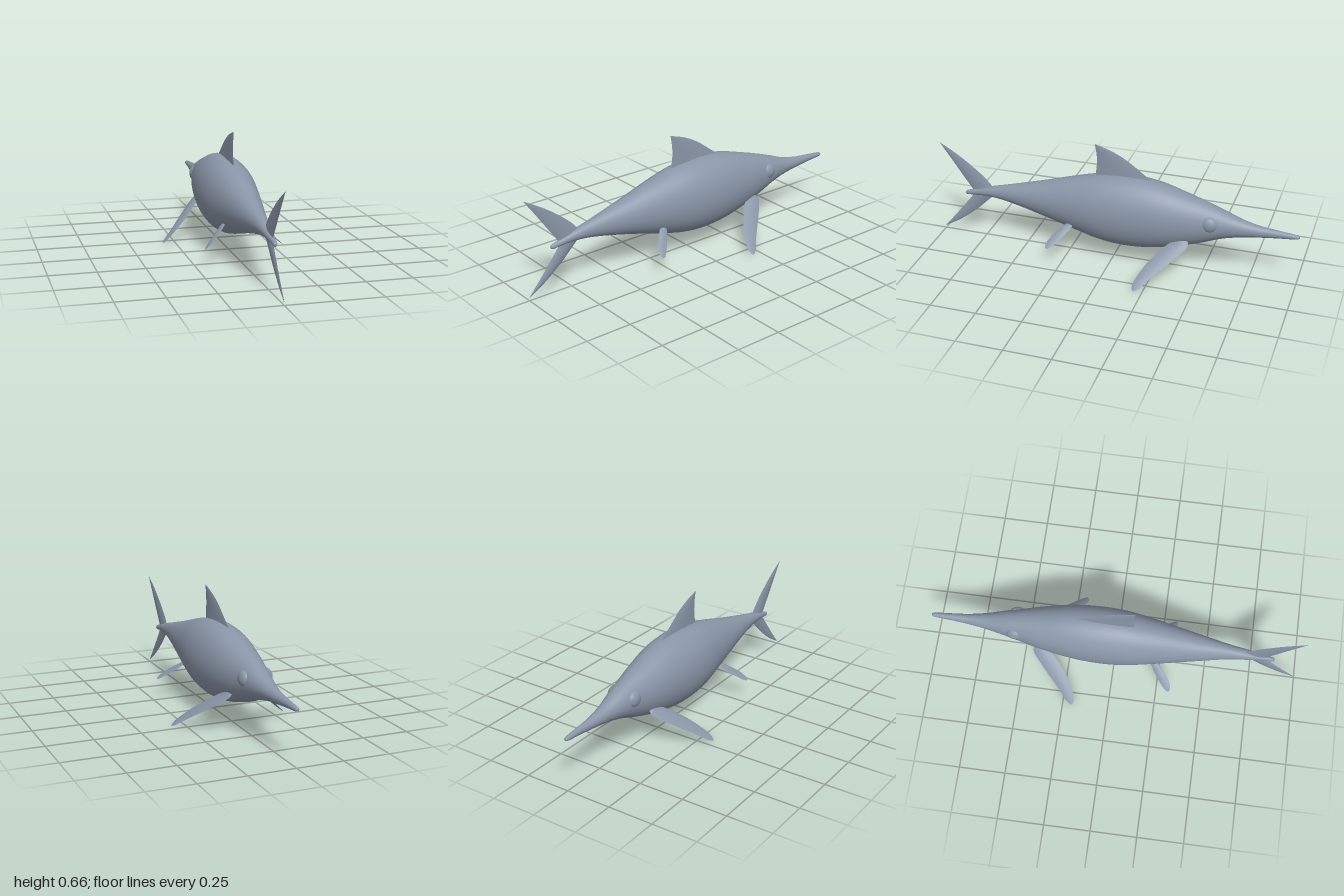
import * as THREE from 'three';
import { toCreasedNormals } from 'three/addons/utils/BufferGeometryUtils.js';

// Closed skin through rings of equal point count, always facing outward
function loft(rings) {
  const n = rings[0].length, pts = rings.flat(), index = [];
  for (let i = 0; i < rings.length - 1; i++) {
    for (let j = 0; j < n; j++) {
      const a = i * n + j, b = i * n + (j + 1) % n;
      index.push(a, b, a + n, b, b + n, a + n);
    }
  }
  // end caps
  const middle = ring => ring.reduce((s, p) => s.add(p), new THREE.Vector3()).divideScalar(n);
  const last = (rings.length - 1) * n;
  const c0 = pts.length, c1 = c0 + 1;
  const all = [...pts, middle(rings[0]), middle(rings[rings.length - 1])];
  for (let j = 0; j < n; j++) {
    const k = (j + 1) % n;
    index.push(c0, k, j, c1, last + j, last + k);
  }
  let volume = 0;
  for (let i = 0; i < index.length; i += 3) {
    volume += all[index[i]].dot(all[index[i + 1]].clone().cross(all[index[i + 2]]));
  }
  if (volume < 0) index.reverse();
  const geometry = new THREE.BufferGeometry().setFromPoints(all);
  geometry.setIndex(index);
  geometry.computeVertexNormals();
  return geometry;
}

// Thin fin: matching [z, span] points along its leading and trailing edges.
// place(z, span) maps to space; normal gives the thickness direction.
function fin(lead, trail, halfThickness, place, normal) {
  const curve = p => new THREE.CatmullRomCurve3(p.map(([z, s]) => place(z, s)), false, 'catmullrom');
  const a = curve(lead), b = curve(trail), rings = [];
  const steps = 16, sides = 16;
  for (let i = 0; i <= steps; i++) {
    const t = i / steps, p = a.getPoint(t), q = b.getPoint(t);
    const thick = halfThickness * (1 - 0.93 * t);
    rings.push(Array.from({ length: sides }, (_, j) => {
      const angle = j / sides * Math.PI * 2, s = Math.sin(angle);
      return p.clone().lerp(q, (1 - Math.cos(angle)) / 2).addScaledVector(normal, thick * s * Math.abs(s));
    }));
  }
  return toCreasedNormals(loft(rings), 0.7);
}

// Body stations, snout to tail: z, top y, bottom y, half width
const stations = [
  [-1.0, 0.293, 0.283, 0.006], [-0.985, 0.299, 0.276, 0.012], [-0.9, 0.308, 0.268, 0.018],
  [-0.8, 0.318, 0.257, 0.027], [-0.7, 0.34, 0.244, 0.043], [-0.6, 0.377, 0.22, 0.065],
  [-0.5, 0.412, 0.182, 0.086], [-0.4, 0.443, 0.15, 0.109], [-0.25, 0.485, 0.112, 0.134],
  [-0.1, 0.5, 0.095, 0.145], [0.05, 0.49, 0.104, 0.14], [0.2, 0.456, 0.139, 0.117],
  [0.4, 0.396, 0.193, 0.08], [0.6, 0.341, 0.238, 0.042], [0.72, 0.309, 0.252, 0.027],
  [0.81, 0.281, 0.247, 0.015], [0.85, 0.269, 0.243, 0.011], [0.862, 0.26, 0.248, 0.005],
];
const uniform = points => new THREE.CatmullRomCurve3(points, false, 'catmullrom');
const upper = uniform(stations.map(([z, top, , w]) => new THREE.Vector3(w, top, z)));
const lower = uniform(stations.map(([z, , bottom]) => new THREE.Vector3(0, bottom, z)));

// Elliptical body ring; arc limits the angle range
function bodyRing(t, sides, scale = 1, start = 0, arc = Math.PI * 2) {
  const u = upper.getPoint(t), y = (u.y + lower.getPoint(t).y) / 2;
  return Array.from({ length: sides }, (_, j) => {
    const angle = start + arc * j / (arc < 6 ? sides - 1 : sides);
    return new THREE.Vector3(u.x * scale * Math.cos(angle), y + (u.y - y) * scale * Math.sin(angle), u.z);
  });
}

export function createModel() {
  const model = new THREE.Group();
  const skin = new THREE.MeshStandardMaterial({ color: 0x8a96a8 });
  skin.name = 'slate grey skin';
  const add = (name, geometry) => {
    const mesh = new THREE.Mesh(geometry, skin);
    mesh.name = name;
    model.add(mesh);
    return mesh;
  };

  // Body with long snout
  const steps = 102;
  add('body', loft(Array.from({ length: steps + 1 }, (_, i) => bodyRing(i / steps, 48))));

  // Lower jaw lying almost flush under the snout
  const jaw = Array.from({ length: 21 }, (_, i) =>
    bodyRing((1 + i / 20 * 3.7) / (stations.length - 1), 20, 1.01, Math.PI * 1.02, Math.PI * 0.96));
  add('lowerJaw', toCreasedNormals(loft(jaw), 0.7));

  // Upright fins on the centre line
  const sideways = new THREE.Vector3(1, 0, 0);
  const upright = (z, y) => new THREE.Vector3(0, y, z);
  add('dorsalFin', fin(
    [[-0.26, 0.45], [-0.2, 0.495], [-0.07, 0.59], [0.02, 0.635], [0.1, 0.661]],
    [[0.09, 0.45], [0.1, 0.49], [0.094, 0.56], [0.098, 0.615], [0.106, 0.661]],
    0.012, upright, sideways));
  add('upperTailFin', fin(
    [[0.68, 0.28], [0.72, 0.337], [0.8, 0.41], [0.9, 0.482], [0.998, 0.54]],
    [[0.82, 0.26], [0.82, 0.28], [0.87, 0.352], [0.933, 0.444], [1.0, 0.538]],
    0.011, upright, sideways));
  add('lowerTailFin', fin(
    [[0.67, 0.28], [0.72, 0.235], [0.8, 0.158], [0.9, 0.078], [0.998, 0.018]],
    [[0.81, 0.27], [0.815, 0.25], [0.865, 0.185], [0.933, 0.1], [1.0, 0.02]],
    0.015, upright, sideways));

  // Paired flippers and eyes
  for (const [side, word] of [[1, 'left'], [-1, 'right']]) {
    const outward = (z, s) => new THREE.Vector3(side * (0.085 + 0.762 * s), 0.203 - 0.648 * s, z);
    const normal = new THREE.Vector3(side * 0.648, 0.762, 0);
    add(word + 'FrontFlipper', fin(
      [[-0.43, -0.01], [-0.43, 0.03], [-0.36, 0.125], [-0.28, 0.222], [-0.235, 0.285], [-0.206, 0.309]],
      [[-0.375, -0.01], [-0.33, 0.02], [-0.255, 0.12], [-0.21, 0.21], [-0.19, 0.272], [-0.196, 0.304]],
      0.011, outward, normal));
    add(word + 'RearFlipper', fin(
      [[0.205, -0.01], [0.21, 0.015], [0.24, 0.07], [0.275, 0.12], [0.3, 0.15], [0.316, 0.158]],
      [[0.235, -0.01], [0.255, 0.01], [0.29, 0.055], [0.317, 0.1], [0.327, 0.135], [0.323, 0.155]],
      0.008, outward, normal));

    const eye = add(word + 'Eye', new THREE.SphereGeometry(1, 32, 20));
    eye.scale.set(0.032, 0.045, 0.048);
    eye.position.set(side * 0.057, 0.317, -0.533);
  }
  return model;
}
